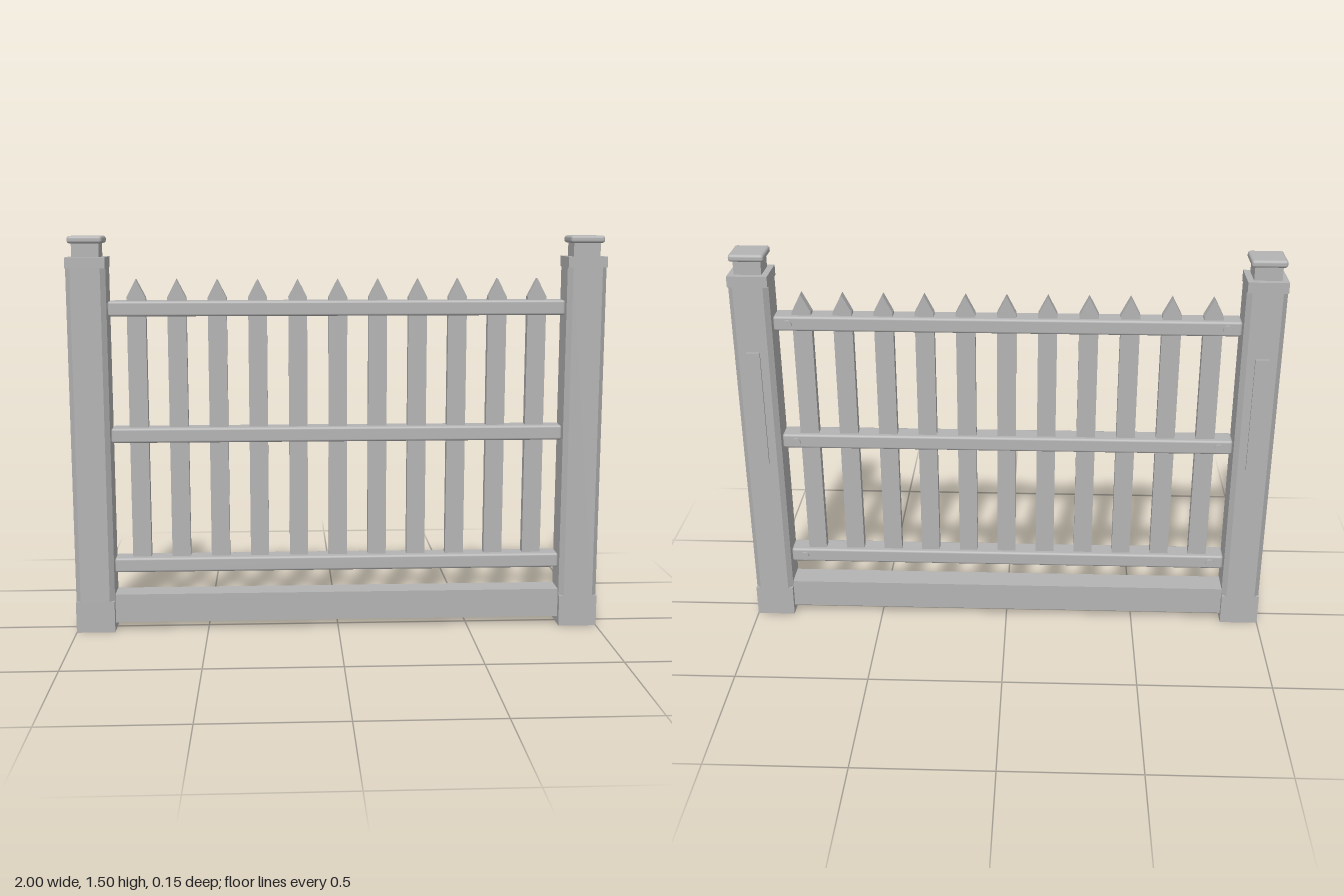
import * as THREE from 'three';
import { RoundedBoxGeometry } from 'three/addons/geometries/RoundedBoxGeometry.js';

const grey = new THREE.MeshStandardMaterial({ color: 0xb4b4b4 });
grey.name = 'paintedGrey';

function part(parent, name, geometry, x = 0, y = 0, z = 0) {
  const mesh = new THREE.Mesh(geometry, grey);
  mesh.name = name;
  mesh.position.set(x, y, z);
  parent.add(mesh);
  return mesh;
}

// Box given by its bottom and top heights
function block(parent, name, width, y0, y1, depth, x = 0, z = 0) {
  return part(parent, name, new THREE.BoxGeometry(width, y1 - y0, depth), x, (y0 + y1) / 2, z);
}

// Square shaft with its four corners cut off
function chamferedShaft(size, cut, height) {
  const h = size / 2, c = h - cut;
  const outline = [[c, -h], [h, -c], [h, c], [c, h], [-c, h], [-h, c], [-h, -c], [-c, -h]];
  const shape = new THREE.Shape(outline.map(([x, y]) => new THREE.Vector2(x, y)));
  return new THREE.ExtrudeGeometry(shape, { depth: height, bevelEnabled: false }).rotateX(-Math.PI / 2);
}

function makePost(side) {
  const post = new THREE.Group();
  post.name = side > 0 ? 'leftPost' : 'rightPost';
  post.position.set(side * 0.927, 0, 0.004);
  const size = 0.146;
  block(post, 'postFoot', size, 0, 0.12, size);
  part(post, 'postShaft', chamferedShaft(size, 0.018, 1.26), 0, 0.12, 0);
  block(post, 'postCollar', size, 1.38, 1.42, size);
  block(post, 'postNeck', 0.1, 1.42, 1.475, 0.1);
  part(post, 'postCap', new RoundedBoxGeometry(0.128, 0.027, 0.128, 2, 0.01), 0, 1.4835, 0);
  // Thin plate on the back face
  block(post, 'backPlate', 0.05, 0.68, 1.13, 0.008, 0, -size / 2 - 0.004);
  return post;
}

// Picket with a pointed top
function picketGeometry() {
  const w = 0.035, d = 0.036;
  const shape = new THREE.Shape();
  shape.moveTo(-w, 0.25);
  shape.lineTo(w, 0.25);
  shape.lineTo(w, 1.27);
  shape.lineTo(0, 1.338);
  shape.lineTo(-w, 1.27);
  shape.closePath();
  return new THREE.ExtrudeGeometry(shape, { depth: d, bevelEnabled: false }).translate(0, 0, -d / 2);
}

export function createModel() {
  const fence = new THREE.Group();
  fence.name = 'fencePanel';

  for (const side of [-1, 1]) fence.add(makePost(side));

  // Board along the ground
  block(fence, 'baseBoard', 1.72, 0.03, 0.14, 0.096, 0, 0);

  // Three rails, bolted at both ends on the back
  const bolt = new THREE.CylinderGeometry(0.016, 0.016, 0.02, 16).rotateX(Math.PI / 2);
  for (const y of [0.254, 0.755, 1.23]) {
    part(fence, 'rail', new RoundedBoxGeometry(1.704, 0.056, 0.082, 2, 0.009), 0, y, 0.006);
    for (const side of [-1, 1]) part(fence, 'railBolt', bolt, side * 0.8, y, -0.035);
  }

  // Pickets
  const picket = picketGeometry();
  for (let i = -5; i <= 5; i++) part(fence, 'picket', picket, i * 0.15, 0, 0.002);

  return fence;
}
